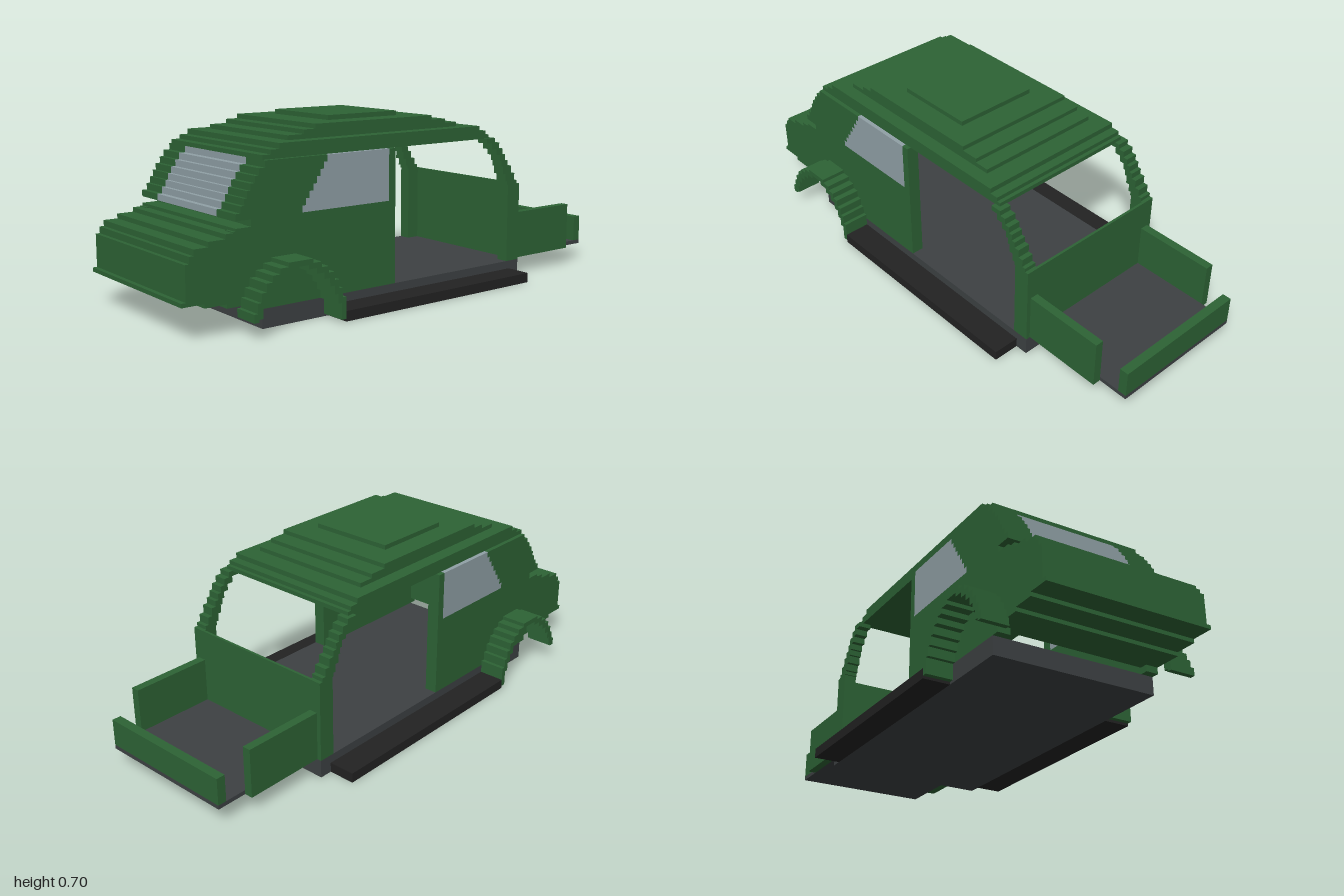
import * as THREE from 'three';

export function createModel() {
  const mat = (name, color) => {
    const m = new THREE.MeshStandardMaterial({ color });
    m.name = name;
    return m;
  };
  const green = mat('body green', 0x2d6335);
  const glass = mat('glass grey', 0x90a0a6);
  const grey = mat('floor grey', 0x3d4143);
  const black = mat('running board black', 0x222222);

  const car = new THREE.Group();
  car.name = 'carBody';

  const box = (name, m, x0, x1, y0, y1, z0, z1) => {
    const mesh = new THREE.Mesh(new THREE.BoxGeometry(x1 - x0, y1 - y0, z1 - z0), m);
    mesh.position.set((x0 + x1) / 2, (y0 + y1) / 2, (z0 + z1) / 2);
    mesh.name = name;
    car.add(mesh);
  };
  // the same box on both sides of the car
  const pair = (name, m, x0, x1, y0, y1, z0, z1) => {
    box(name + 'Left', m, x0, x1, y0, y1, z0, z1);
    box(name + 'Right', m, x0, x1, y0, y1, -z1, -z0);
  };
  const slab = (name, m, pts, z0, z1) => {
    const shape = new THREE.Shape(pts.map(([x, y]) => new THREE.Vector2(x, y)));
    const geo = new THREE.ExtrudeGeometry(shape, { depth: z1 - z0, bevelEnabled: false });
    const mesh = new THREE.Mesh(geo, m);
    mesh.position.z = z0;
    mesh.name = name;
    car.add(mesh);
  };
  const slabPair = (name, m, pts, z0, z1) => {
    slab(name + 'Left', m, pts, z0, z1);
    slab(name + 'Right', m, pts, -z1, -z0);
  };

  const W = 0.33, IN = 0.28;

  // floor pan, running boards, front compartment
  box('floor', grey, -0.69, 0.56, 0, 0.07, -W, W);
  pair('runningBoard', black, -0.41, 0.51, 0, 0.038, W, 0.435);
  box('frontFloor', grey, 0.56, 1, 0.072, 0.088, -IN, IN);
  box('frontPanel', green, 0.965, 1, 0.088, 0.193, -IN, IN);
  pair('frontSide', green, 0.56, 0.88, 0.072, 0.262, IN, 0.313);
  box('firewall', green, 0.55, 0.56, 0.07, 0.385, -IN, IN);

  // stepped windscreen pillars: [y0, y1, inner x, outer x]
  [[0.07, 0.385, 0.495, 0.56], [0.385, 0.4, 0.49, 0.545], [0.4, 0.43, 0.48, 0.53],
    [0.43, 0.462, 0.465, 0.51], [0.462, 0.485, 0.455, 0.49], [0.485, 0.51, 0.445, 0.475],
    [0.51, 0.535, 0.425, 0.46], [0.535, 0.56, 0.4, 0.44], [0.56, 0.58, 0.37, 0.415]]
    .forEach(([y0, y1, a, b]) => pair('windscreenPillar', green, a, b, y0, y1, IN, W));

  // stacked roof layers: [y0, y1, rear x, front x, half width]
  [[0.578, 0.594, -0.67, 0.395, 0.313], [0.594, 0.61, -0.635, 0.38, 0.313],
    [0.61, 0.63, -0.6, 0.345, 0.313], [0.63, 0.647, -0.53, 0.27, 0.26],
    [0.647, 0.663, -0.46, 0.21, 0.26], [0.663, 0.68, -0.41, 0.14, 0.26],
    [0.68, 0.698, -0.29, 0.035, 0.173]]
    .forEach(([y0, y1, a, b, z]) => box('roofLayer', green, a, b, y0, y1, -z, z));

  // stepped tailgate, side window rows and upper side walls
  const tail = [-0.79, -0.77, -0.755, -0.743, -0.73, -0.712, -0.695, -0.67];
  const rowH = (0.578 - 0.385) / tail.length;
  tail.forEach((x, i) => {
    const y0 = 0.385 + i * rowH, y1 = y0 + rowH;
    const sideRear = -0.52 + 0.11 * i / (tail.length - 1);
    box('rearWindow', glass, x, x + 0.04, y0, y1, -0.21, 0.21);
    pair('tailgateFrame', green, x, x + 0.04, y0, y1, 0.21, IN);
    pair('rearQuarter', green, x, sideRear, y0, y1, IN, W);
    pair('sideWindow', glass, sideRear, -0.13, y0, y1, 0.29, W);
    pair('doorPillar', green, -0.13, -0.1, y0, y1, IN, W);
  });

  // lower side walls and shelf joining tailgate and boot
  slabPair('sideWall', green, [[-0.8, 0.095], [-0.72, 0.095], [-0.72, 0.07], [-0.1, 0.07],
    [-0.1, 0.385], [-0.73, 0.385], [-0.73, 0.35], [-0.8, 0.35]], IN, W);
  box('tailgateSill', green, -0.73, -0.69, 0.365, 0.386, -IN, IN);

  // boot with stepped top and underside
  slab('boot', green, [[-1, 0.125], [-0.915, 0.125], [-0.915, 0.11], [-0.83, 0.11], [-0.83, 0.095],
    [-0.69, 0.095], [-0.69, 0.37], [-0.725, 0.37], [-0.725, 0.36], [-0.79, 0.36], [-0.79, 0.347],
    [-0.83, 0.347], [-0.83, 0.33], [-0.895, 0.33], [-0.895, 0.312], [-0.95, 0.312], [-0.95, 0.29],
    [-0.967, 0.29], [-0.967, 0.265], [-0.983, 0.265], [-0.983, 0.14], [-1, 0.14]], -W, W);

  // stepped arches over the rear wheels
  const stairs = [[0.05, 0.245], [0.085, 0.23], [0.115, 0.21], [0.14, 0.187], [0.16, 0.157],
    [0.175, 0.125], [0.19, 0.09]];
  const halfArch = (inset) => {
    const pts = [];
    stairs.forEach(([d, y], i) => {
      if (i) pts.push([stairs[i - 1][0] - inset, y - inset]);
      pts.push([d - inset, y - inset]);
    });
    return pts;
  };
  const arch = (inset) => {
    const half = halfArch(inset);
    const end = 0.19 - inset;
    return [[-0.6 - end, 0.06], ...half.map(([d, y]) => [-0.6 - d, y]).reverse(),
      ...half.map(([d, y]) => [-0.6 + d, y]), [-0.6 + end, 0.01]];
  };
  slabPair('wheelArch', green, [...arch(0), ...arch(0.02).reverse()], W, 0.435);

  return car;
}
